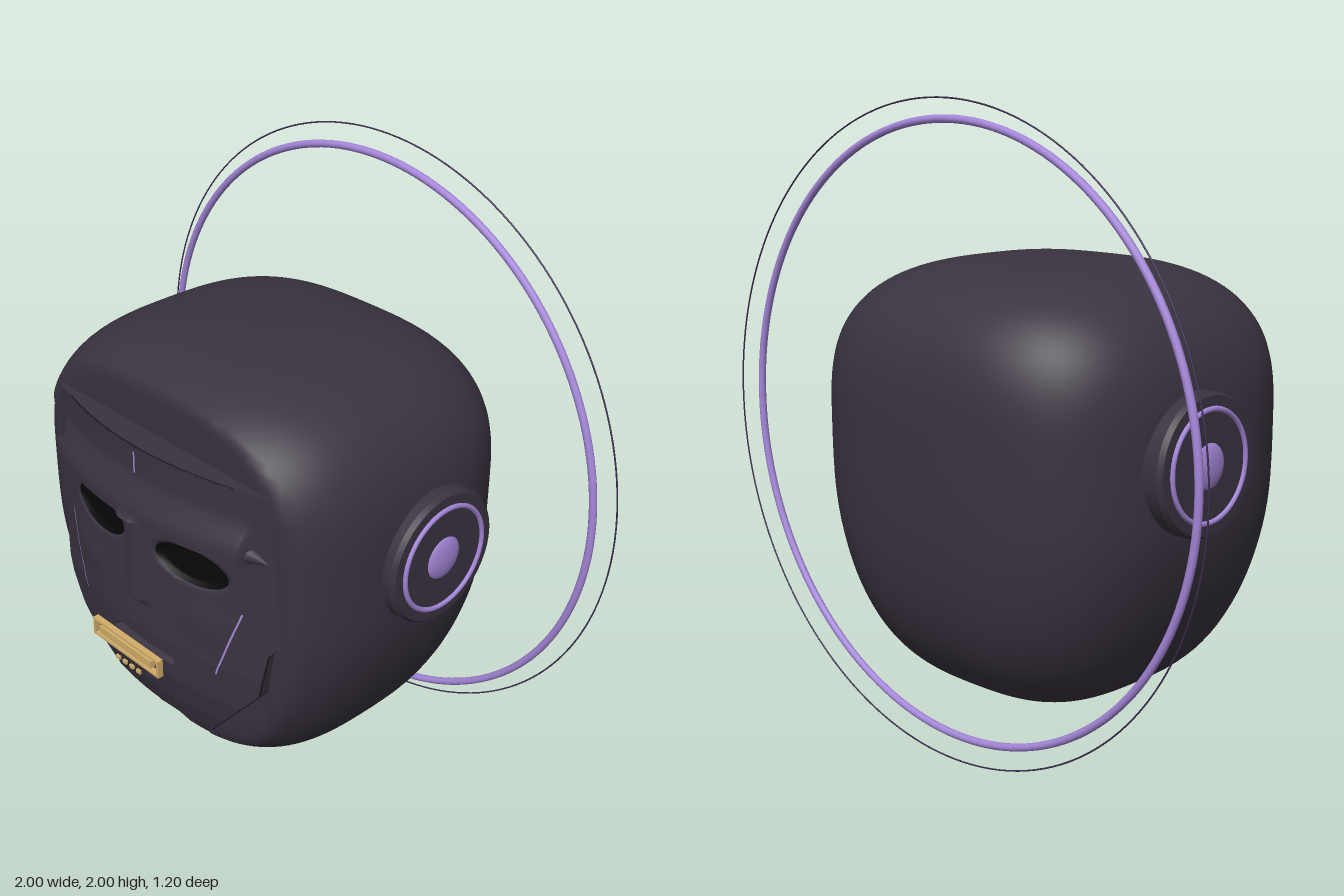
import * as THREE from 'three';
import { mergeVertices, toCreasedNormals } from 'three/addons/utils/BufferGeometryUtils.js';

const mat = (name, color, side = THREE.FrontSide) => {
  const m = new THREE.MeshStandardMaterial({ color, side });
  m.name = name;
  return m;
};
const smooth = THREE.MathUtils.smoothstep;

// piecewise linear curve through [key, value] pairs with rising keys
function ramp(points, k) {
  if (k <= points[0][0]) return points[0][1];
  for (let i = 1; i < points.length; i++) {
    const [a, va] = points[i - 1], [b, vb] = points[i];
    if (k <= b) return va + (vb - va) * (k - a) / (b - a);
  }
  return points[points.length - 1][1];
}

const EYE = { x: 0.212, y: 0.972, rx: 0.138, ry: 0.058 };
const WIDTH = [[0.34, 0.23], [0.6, 0.45], [0.76, 0.48], [0.86, 0.56], [1.12, 0.56], [1.29, 0.48]];
const DEPTH = [[0.34, 0.47], [0.42, 0.5], [0.52, 0.525], [0.66, 0.537], [0.8, 0.53], [1.29, 0.525]];

// relief of the face mask, sinking into the head at the temples
function faceZ(x, y) {
  const ax = Math.abs(x);
  let z = ramp(DEPTH, y) - 0.38 * x * x - 0.035 * smooth(ax, 0.47, 0.56);
  if (y > 1.062) z += 0.04 * (1 - smooth(y, 1.09, 1.21)) * (1 - smooth(ax, 0.41, 0.43)); // brow ridge
  z += 0.03 * (1 - smooth(ax, 0.015, 0.06)) * smooth(y, 0.75, 0.78) * (1 - smooth(y, 1.05, 1.09)); // nose
  const e = Math.hypot((ax - EYE.x) / EYE.rx, (y - EYE.y) / EYE.ry);
  z -= 0.022 * (1 - smooth(e, 0.8, 1.15));                                       // eye socket
  if (ax < 0.14 && y > 0.585 && y < 0.635) z -= 0.02;                             // mouth slot
  z += 0.012 * Math.exp(-(((ax - 0.27) / 0.1) ** 2) - ((y - 0.8) / 0.07) ** 2);    // cheekbone
  return z;
}

// lays a flat geometry over the mask
function drape(geo, lift) {
  const p = geo.attributes.position;
  for (let i = 0; i < p.count; i++) p.setZ(i, faceZ(p.getX(i), p.getY(i)) + lift);
  geo.computeVertexNormals();
  return geo;
}

// egg-like rounded block with a flattened front
function headGeometry() {
  let g = new THREE.SphereGeometry(1, 112, 80);
  g.deleteAttribute('uv');
  g.deleteAttribute('normal');
  g = mergeVertices(g, 1e-5);
  const p = g.attributes.position, d = new THREE.Vector3(), q = 2.9;
  for (let i = 0; i < p.count; i++) {
    d.fromBufferAttribute(p, i);
    const h = d.y > 0 ? 0.49 : 0.89;
    d.y *= h; d.x *= 0.645; d.z *= 0.6;
    let r = (Math.abs(d.x / 0.645) ** q + Math.abs(d.y / h) ** q + Math.abs(d.z / 0.6) ** q) ** (-1 / q);
    const front = d.z - 0.026 * d.y;
    if (front > 0.01) r = Math.min(r, 0.428 / front);
    d.multiplyScalar(r);
    d.x *= 1 - 0.05 * smooth(-d.y, 0.2, 0.7);
    p.setXYZ(i, d.x, d.y + 1.03, d.z);
  }
  g.computeVertexNormals();
  return g;
}

// relief grid whose outermost rows and columns fold back as a skirt
function maskGeometry() {
  const nx = 122, ny = 122;
  const g = new THREE.PlaneGeometry(1, 1, nx, ny);
  g.deleteAttribute('uv');
  const p = g.attributes.position;
  const inner = (i, n) => THREE.MathUtils.clamp((i - 1) / (n - 2), 0, 1);
  for (let j = 0; j <= ny; j++) {
    for (let i = 0; i <= nx; i++) {
      const y = 1.29 - 0.95 * inner(j, ny);
      const x = (inner(i, nx) * 2 - 1) * ramp(WIDTH, y);
      const edge = i === 0 || j === 0 || i === nx || j === ny;
      p.setXYZ(j * (nx + 1) + i, x, y, edge ? 0.37 : faceZ(x, y));
    }
  }
  return toCreasedNormals(g, 0.6);
}

export function createModel() {
  const skin = mat('charcoal plum', 0x3a3340);
  const black = mat('eye black', 0x08080a, THREE.DoubleSide);
  const seam = mat('seam dark', 0x1a171d);
  const violet = mat('violet', 0xa486d8, THREE.DoubleSide);
  const dusk = mat('dusk ring', 0x3a3050);
  const gold = mat('gold', 0xd2ae6a);

  const model = new THREE.Group();
  model.name = 'maskedHead';
  const add = (name, geo, material, x = 0, y = 0, z = 0, parent = model) => {
    const m = new THREE.Mesh(geo, material);
    m.name = name;
    m.position.set(x, y, z);
    parent.add(m);
    return m;
  };

  add('head', headGeometry(), skin);
  add('faceMask', maskGeometry(), skin);

  // thin seams along the mask edge
  const line = (name, pts) => {
    const path = new THREE.CurvePath();
    const v = pts.map(([x, y]) => new THREE.Vector3(x, y, faceZ(x, y) - 0.002));
    for (let i = 1; i < v.length; i++) path.add(new THREE.LineCurve3(v[i - 1], v[i]));
    add(name, new THREE.TubeGeometry(path, 60, 0.0025, 6), seam);
  };
  const across = (y, w) => Array.from({ length: 13 }, (_, i) => [w * (i / 6 - 1), y]);
  line('foreheadSeam', across(1.29, 0.37));
  line('chinSeam', across(0.34, 0.23));

  for (const s of [1, -1]) {
    const side = s > 0 ? 'left' : 'right';
    line(side + 'JawSeam', [[s * 0.48, 0.76], [s * 0.45, 0.6], [s * 0.34, 0.47], [s * 0.23, 0.34]]);

    // eye opening
    const eye = new THREE.RingGeometry(0.001, 1, 48, 8);
    eye.scale(EYE.rx, EYE.ry, 1).translate(s * EYE.x, EYE.y, 0);
    add(side + 'Eye', drape(eye, 0.004), black);

    // pointed brow end
    const tip = new THREE.ConeGeometry(0.028, 0.08, 16).rotateZ(-s * Math.PI / 2);
    add(side + 'BrowEnd', tip, skin, s * 0.455, 1.09, 0.455);

    // cheek slash
    const slash = new THREE.PlaneGeometry(0.006, 0.265, 1, 16);
    slash.rotateZ(-s * 0.345).translate(s * 0.355, 0.755, 0);
    add(side + 'CheekSlash', drape(slash, 0.002), violet);

    // ear disc, built along +x
    const ear = new THREE.Group();
    ear.name = side + 'Ear';
    ear.position.set(0, 0.973, -0.065);
    if (s < 0) ear.rotation.y = Math.PI;
    const profile = [[0.215, 0.56], [0.215, 0.67], [0.205, 0.685], [0, 0.685]].map(a => new THREE.Vector2(...a));
    const drum = toCreasedNormals(new THREE.LatheGeometry(profile, 64), 0.5);
    add('earDrum', drum.rotateZ(-Math.PI / 2), skin, 0, 0, 0, ear);
    add('earRing', new THREE.TorusGeometry(0.167, 0.008, 8, 64).rotateY(Math.PI / 2), violet, 0.687, 0, 0, ear);
    const stud = new THREE.SphereGeometry(0.072, 32, 20).scale(0.3, 1, 1);
    add('earStud', stud, violet, 0.678, 0, 0, ear);
    model.add(ear);
  }

  // forehead mark
  add('foreheadMark', drape(new THREE.PlaneGeometry(0.007, 0.07, 1, 8).translate(0, 1.24, 0), 0.003), violet);

  // floating mouth: frame, bar and a row of studs
  const frame = new THREE.Shape();
  const rect = (p, w, h) => p.moveTo(-w, -h).lineTo(w, -h).lineTo(w, h).lineTo(-w, h).closePath();
  rect(frame, 0.158, 0.031);
  const hole = new THREE.Path();
  rect(hole, 0.149, 0.023);
  frame.holes.push(hole);
  add('mouthFrame', new THREE.ExtrudeGeometry(frame, { depth: 0.02, bevelEnabled: false }), gold, 0, 0.608, 0.578);
  add('mouthBar', new THREE.BoxGeometry(0.25, 0.026, 0.02), gold, 0, 0.61, 0.59);
  for (let i = 0; i < 4; i++) {
    add('chinStud' + (i + 1), new THREE.BoxGeometry(0.018, 0.012, 0.008), gold, -0.05 + i * 0.0333, 0.538, 0.588);
  }

  // halo rings behind the head
  add('haloRing', new THREE.TorusGeometry(0.937, 0.012, 12, 160), violet, 0, 1.003, -0.43);
  add('outerHaloRing', new THREE.TorusGeometry(0.997, 0.0025, 8, 160), dusk, 0, 1.003, -0.465);

  return model;
}
